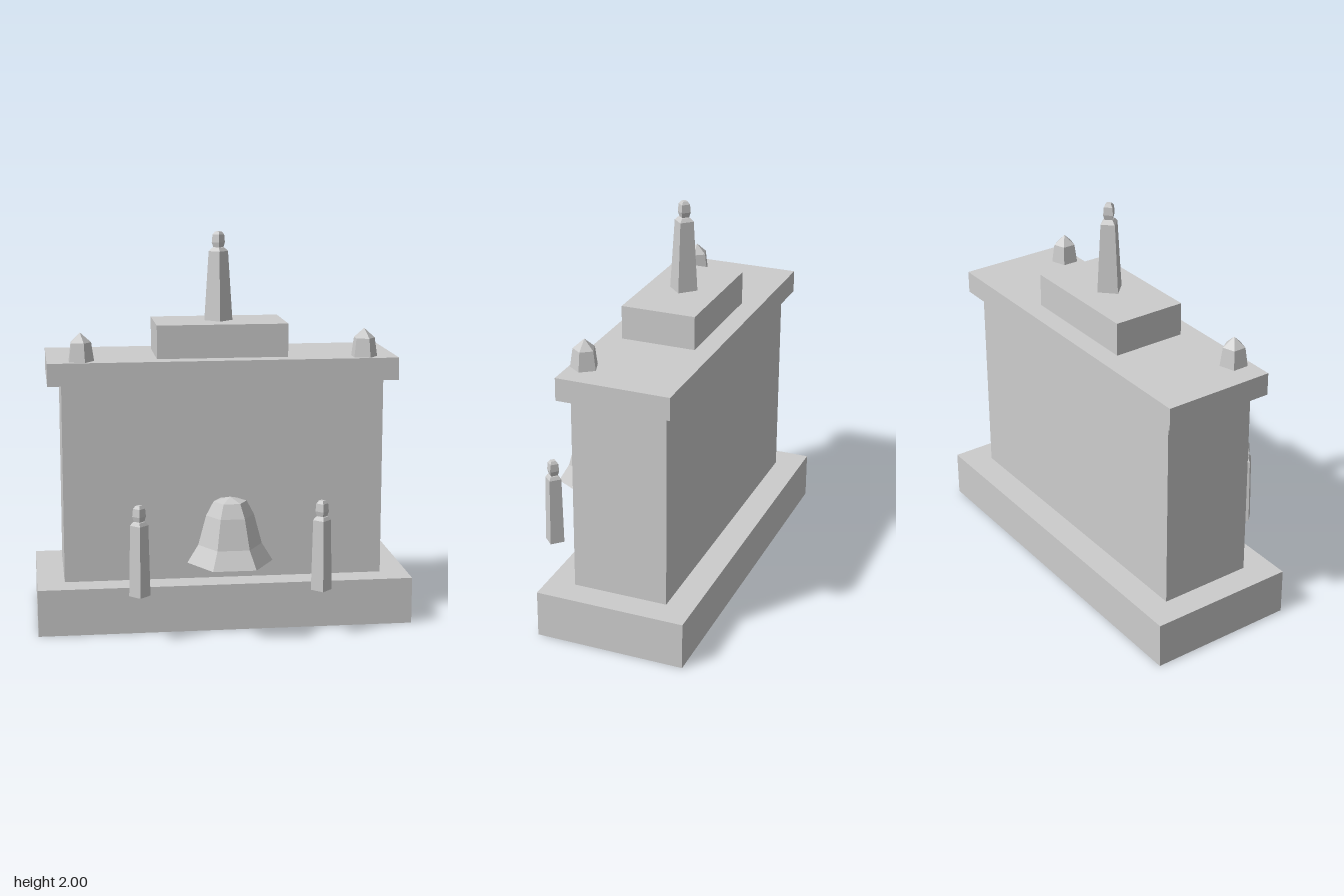
import * as THREE from 'three';

const stone = new THREE.MeshStandardMaterial({ color: 0xcccccc, flatShading: true, side: THREE.DoubleSide });
stone.name = 'paleStone';

export function createModel() {
  const model = new THREE.Group();
  model.name = 'monument';

  const add = (name, geometry, x = 0, y = 0, z = 0) => {
    const mesh = new THREE.Mesh(geometry, stone);
    mesh.name = name;
    mesh.position.set(x, y, z);
    model.add(mesh);
    return mesh;
  };

  // Block without an underside, given by half width and its y and z ranges
  const block = (name, halfW, y0, y1, z0, z1) => {
    const g = new THREE.BoxGeometry(halfW * 2, y1 - y0, z1 - z0);
    const index = Array.from(g.index.array);
    index.splice(18, 6); // the -y face
    g.setIndex(index);
    g.clearGroups();
    add(name, g, 0, (y0 + y1) / 2, (z0 + z1) / 2);
  };

  // Faceted turned part from [radius, y] pairs, with a corner towards +x
  const turned = (name, profile, sides, x, z) => {
    const points = profile.map(([r, y]) => new THREE.Vector2(r, y));
    add(name, new THREE.LatheGeometry(points, sides, Math.PI / 2), x, 0, z);
  };

  // Slender square figure: tapering robe, shoulders, neck and head
  const figure = (name, x, z, y0, top, foot, shoulder) => {
    turned(name, [
      [foot, y0], [shoulder, top - 0.1], [0.032, top - 0.083],
      [0.026, top - 0.08], [0.034, top - 0.055], [0.03, top - 0.015],
      [0.017, top], [0, top],
    ], 4, x, z);
  };

  // Stacked masonry
  block('base', 0.96, 0, 0.24, -0.525, 0.24);
  block('wall', 0.82, 0.24, 1.26, -0.385, 0.1);
  block('cornice', 0.89, 1.26, 1.375, -0.43, 0.145);
  block('plinth', 0.335, 1.375, 1.545, -0.33, 0.05);

  // Eight-sided medallion on the front wall
  const medallion = add('medallion', new THREE.CircleGeometry(0.18, 8), 0, 1.015, 0.103);
  medallion.rotation.z = Math.PI / 2;

  // Hanging bell, open underneath
  turned('bell', [
    [0.215, 0.39], [0.16, 0.48], [0.12, 0.63], [0.083, 0.7], [0, 0.722],
  ], 6, 0, 0.34);

  // Crowning and flanking figures
  figure('topFigure', 0, -0.14, 1.545, 2, 0.073, 0.05);
  for (const [side, s] of [['left', 1], ['right', -1]]) {
    figure(side + 'Figure', 0.457 * s, 0.385, 0.24, 0.7, 0.053, 0.045);
    // Five-sided pointed finial on the cornice
    turned(side + 'Finial', [[0.07, 1.375], [0.056, 1.47], [0, 1.52]], 5, 0.722 * s, 0.07);
  }

  return model;
}
